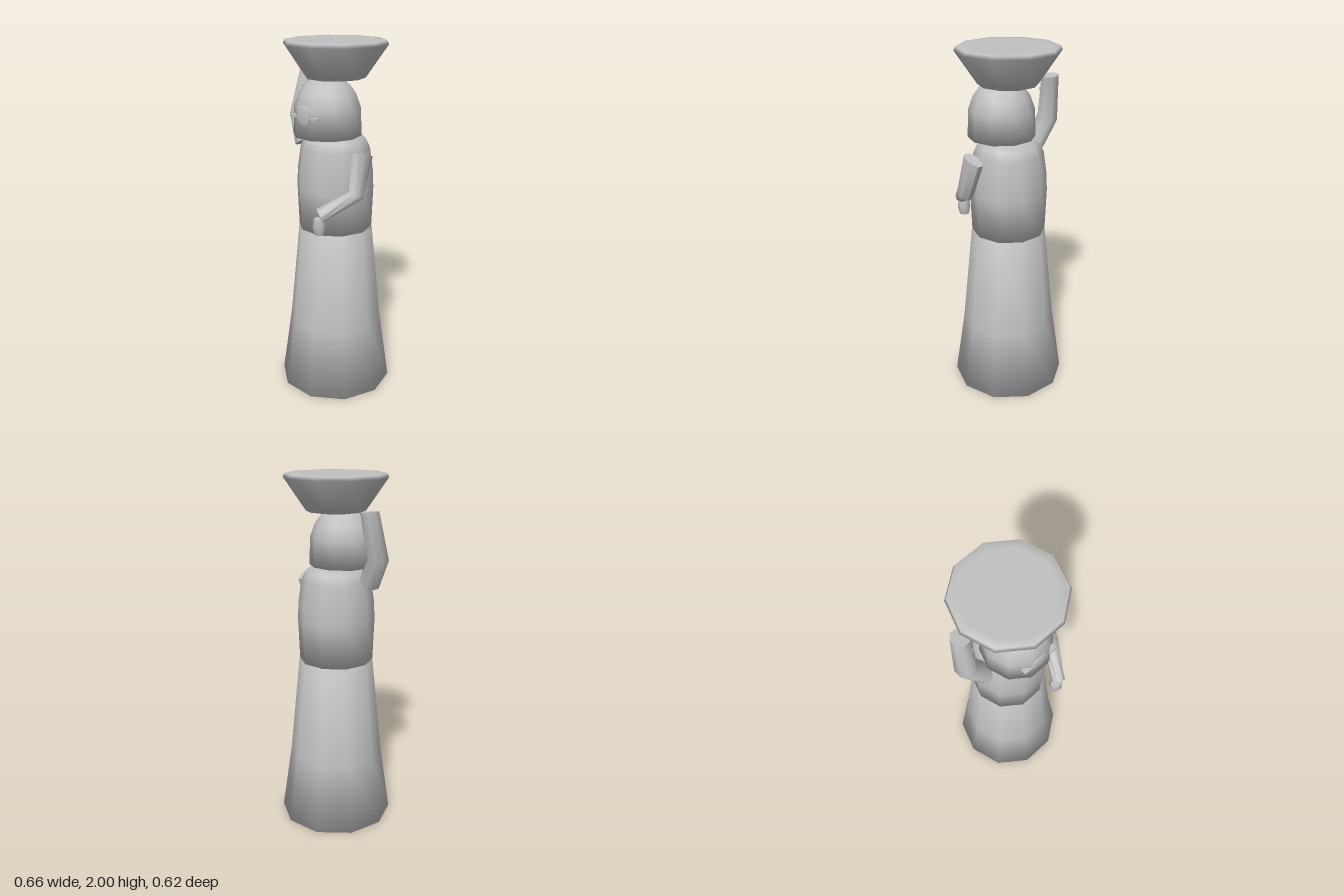
import * as THREE from 'three';
import { toCreasedNormals } from 'three/addons/utils/BufferGeometryUtils.js';

const V = (x, y, z) => new THREE.Vector3(x, y, z);

// Ten-sided turned part with a corner towards +x; profile runs bottom to top
function turned(profile) {
  const pts = profile.map(([r, y]) => new THREE.Vector2(r, y));
  return new THREE.LatheGeometry(pts, 10, Math.PI / 2);
}

// Closed limb lofted through rings { p: centre, t: direction, a: half width, b: half depth }
function limb(rings, sides = 8) {
  const pos = [], idx = [];
  for (const { p, t, a, b } of rings) {
    const dir = t.clone().normalize();
    const v = V(0, 0, 1).addScaledVector(dir, -dir.z).normalize();
    const u = new THREE.Vector3().crossVectors(v, dir).negate();
    for (let i = 0; i < sides; i++) {
      const s = (i + 0.5) / sides * Math.PI * 2;
      pos.push(...p.clone().addScaledVector(u, a * Math.cos(s)).addScaledVector(v, b * Math.sin(s)).toArray());
    }
  }
  const n = rings.length, c0 = n * sides, c1 = c0 + 1;
  pos.push(...rings[0].p.toArray(), ...rings[n - 1].p.toArray());
  for (let i = 0; i < sides; i++) {
    const j = (i + 1) % sides;
    for (let k = 0; k < n - 1; k++) {
      const o = k * sides, q = o + sides;
      idx.push(o + i, o + j, q + j, o + i, q + j, q + i);
    }
    const e = (n - 1) * sides;
    idx.push(c0, j, i, c1, e + i, e + j);
  }
  const g = new THREE.BufferGeometry();
  g.setAttribute('position', new THREE.Float32BufferAttribute(pos, 3));
  g.setIndex(idx);
  return toCreasedNormals(g, 1.0);
}

export function createModel() {
  const group = new THREE.Group();
  const stone = new THREE.MeshStandardMaterial({ color: 0xc0c0c0, side: THREE.DoubleSide });
  stone.name = 'grey stone';

  const add = (name, geo, x = 0, y = 0, z = 0) => {
    const m = new THREE.Mesh(geo, stone);
    m.name = name;
    m.position.set(x, y, z);
    group.add(m);
    return m;
  };

  // Body
  add('skirt', turned([[0, 0], [0.325, 0], [0.267, 0.4], [0.21, 0.965], [0, 0.965]]), 0.007);
  add('torso', turned([[0, 0.97], [0.208, 0.97], [0.216, 1.2], [0.212, 1.3], [0.193, 1.43], [0.172, 1.475], [0.135, 1.505], [0, 1.505]]), 0.005);

  // Head, set forward of the body
  add('head', turned([[0, 1.505], [0.187, 1.505], [0.18, 1.66], [0.155, 1.73], [0.122, 1.775], [0.075, 1.808], [0, 1.812]]), 0.005, 0, 0.06);

  // Face relief
  const nose = add('nose', new THREE.SphereGeometry(0.06, 8, 6), 0.003, 1.625, 0.232);
  nose.scale.z = 0.2;
  add('mouth', new THREE.BoxGeometry(0.2, 0.014, 0.03), 0.003, 1.62, 0.222);

  // Basket carried on the head
  add('basket', turned([[0, 1.805], [0.162, 1.805], [0.282, 1.98], [0.272, 2], [0.23, 2], [0, 2]]), 0.007);

  // Raised right arm
  add('rightArm', limb([
    { p: V(-0.2, 1.43, 0.03), t: V(-0.5, 0.8, 0), a: 0.055, b: 0.068 },
    { p: V(-0.274, 1.575, 0.0), t: V(-0.12, 1, -0.1), a: 0.056, b: 0.064 },
    { p: V(-0.247, 1.822, -0.045), t: V(0.1, 1, 0), a: 0.05, b: 0.05 },
  ]));
  add('rightThumb', new THREE.SphereGeometry(0.014, 6, 4), -0.233, 1.74, 0.008);

  // Bent left arm reaching forward
  add('leftArm', limb([
    { p: V(0.143, 1.12, 0.262), t: V(0.12, 0.09, -0.18), a: 0.04, b: 0.038 },
    { p: V(0.243, 1.215, 0.085), t: V(0.05, 0.3, -0.16), a: 0.043, b: 0.052 },
    { p: V(0.228, 1.425, 0.02), t: V(-0.03, 1, -0.3), a: 0.04, b: 0.072 },
  ]));
  add('leftHand', limb([
    { p: V(0.133, 1.01, 0.253), t: V(0, 1, 0), a: 0.028, b: 0.026 },
    { p: V(0.135, 1.055, 0.255), t: V(0, 1, 0), a: 0.038, b: 0.038 },
    { p: V(0.135, 1.1, 0.255), t: V(0, 1, 0), a: 0.03, b: 0.03 },
  ]));

  return group;
}
